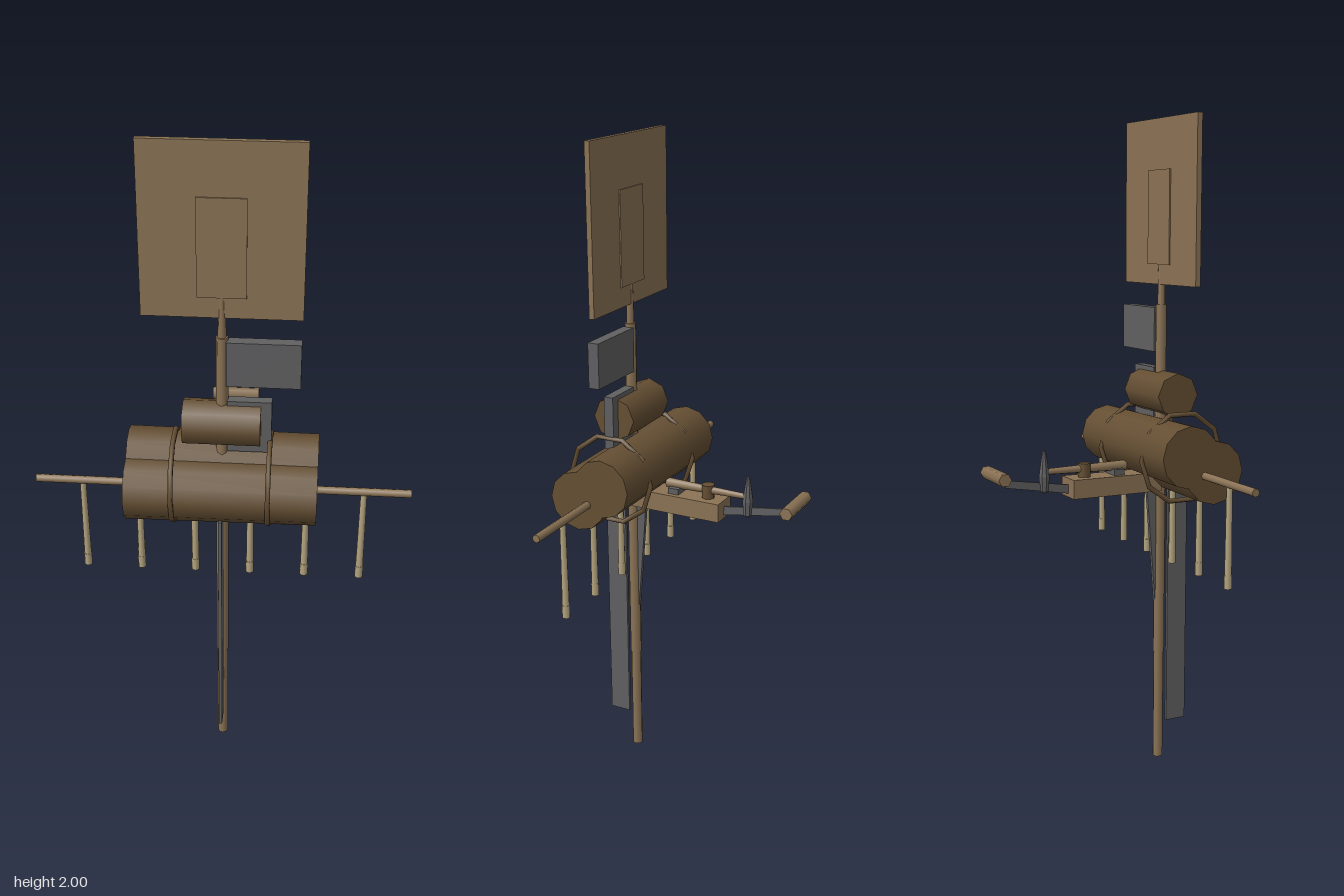
import * as THREE from 'three';

const Z = 0.207; // depth of the mast line

export function createModel() {
  const model = new THREE.Group();
  const material = (name, color, flatShading = false) => {
    const m = new THREE.MeshStandardMaterial({ color });
    m.name = name;
    m.flatShading = flatShading;
    return m;
  };
  const tan = material('tan', 0x8b7355);
  const brown = material('dark brown', 0x654f33);
  const grey = material('grey', 0x606062, true);
  const pale = material('pale tan', 0xb5a580);

  const add = (name, geometry, mat, x = 0, y = 0, z = 0) => {
    const mesh = new THREE.Mesh(geometry, mat);
    mesh.name = name;
    mesh.position.set(x, y, z);
    model.add(mesh);
    return mesh;
  };
  // box given by its two opposite corners
  const box = (name, mat, a, b) => add(name,
    new THREE.BoxGeometry(b[0] - a[0], b[1] - a[1], b[2] - a[2]), mat,
    (a[0] + b[0]) / 2, (a[1] + b[1]) / 2, (a[2] + b[2]) / 2);
  // upright tube between two heights
  const upright = (name, mat, rTop, rBottom, y0, y1, x = 0, z = Z, sides = 8) => add(name,
    new THREE.CylinderGeometry(rTop, rBottom, y1 - y0, sides), mat, x, (y0 + y1) / 2, z);
  // tube lying along x, radius rRight at -x and rLeft at +x
  const crosswise = (name, mat, rRight, rLeft, length, y, z, sides) => {
    const g = new THREE.CylinderGeometry(rRight, rLeft, length, sides).rotateZ(Math.PI / 2);
    return add(name, g, mat, 0, y, z);
  };
  // thin side-on plate from [z, y] corners
  const sidePlate = (name, mat, points, thickness) => {
    const shape = new THREE.Shape(points.map(([z, y]) => new THREE.Vector2(-z, y)));
    const g = new THREE.ExtrudeGeometry(shape, { depth: thickness, bevelEnabled: false });
    g.translate(0, 0, -thickness / 2).rotateY(Math.PI / 2);
    return add(name, g, mat);
  };

  // Square panel with a raised centre on both faces
  box('panel', tan, [-0.22, 1.51, Z - 0.008], [0.22, 2, Z + 0.008]);
  box('panelCentre', tan, [-0.067, 1.57, Z - 0.012], [0.067, 1.85, Z + 0.012]);

  // Stepped mast
  upright('mastFoot', tan, 0.016, 0.016, 0, 0.35);
  upright('mastLower', tan, 0.018, 0.018, 0.35, 0.92);
  upright('mastUpper', tan, 0.017, 0.018, 0.9, 1.45);
  upright('mastTip', tan, 0.01, 0.012, 1.45, 1.58);

  // Grey plates on the mast
  box('flagPlate', grey, [0.012, 1.305, Z - 0.017], [0.218, 1.44, Z + 0.017]);
  box('bracketPlate', grey, [0.015, 1.095, Z - 0.015], [0.14, 1.257, Z + 0.015]);
  sidePlate('keel', grey, [[0.302, 0.115], [0.235, 0.115], [0.235, 0.9], [0.302, 0.9]], 0.01);
  sidePlate('rearFin', grey, [[0.19, 0.52], [0.158, 0.9], [0.2, 0.9]], 0.012);

  // Twin drums and the small drum above
  crosswise('frontDrum', brown, 0.095, 0.091, 0.55, 0.972, 0.239, 12);
  crosswise('rearDrum', brown, 0.093, 0.089, 0.55, 1.022, 0.16, 12);
  crosswise('topDrum', brown, 0.067, 0.067, 0.22, 1.182, Z, 8).material = brown;

  // Hoops round the drums
  for (const side of [-1, 1]) {
    add('hoop', new THREE.TorusGeometry(0.137, 0.008, 6, 10).rotateY(Math.PI / 2),
      brown, side * 0.137, 0.998, Z);
  }

  // Cross rail with hanging rods
  crosswise('rail', tan, 0.012, 0.012, 1.094, 0.965, Z, 8);
  for (const side of [-1, 1]) {
    for (const x of [0.082, 0.245, 0.41]) {
      upright('rod', pale, 0.009, 0.011, 0.69, 0.965, side * x);
      upright('rodEnd', pale, 0.012, 0.012, 0.66, 0.7, side * x);
    }
  }

  // Rear beam with a tapering spar, peg and block on top
  box('rearBeam', tan, [-0.043, 0.88, -0.107], [0.043, 0.938, 0.19]);
  add('spar', new THREE.CylinderGeometry(0.016, 0.009, 0.27, 8).rotateX(Math.PI / 2),
    tan, 0, 0.963, -0.05);
  upright('peg', brown, 0.02, 0.02, 0.935, 0.98, 0, -0.053);
  box('block', grey, [-0.028, 0.936, 0.035], [0.028, 0.956, 0.07]);

  // Spindle and tail blade
  const spindle = [[0, 0.895], [0.014, 0.905], [0.017, 0.95], [0.012, 0.985], [0.005, 1.027], [0, 1.028]];
  add('spindle', new THREE.LatheGeometry(spindle.map(([r, y]) => new THREE.Vector2(r, y)), 8),
    grey, 0, 0, -0.185);
  sidePlate('tailBlade', grey, [[-0.1, 0.89], [-0.31, 0.925], [-0.31, 0.948], [-0.1, 0.917]], 0.006);

  // Loose crossbar at the very back
  crosswise('rearCrossbar', tan, 0.02, 0.02, 0.15, 0.963, -0.339, 6);

  return model;
}
